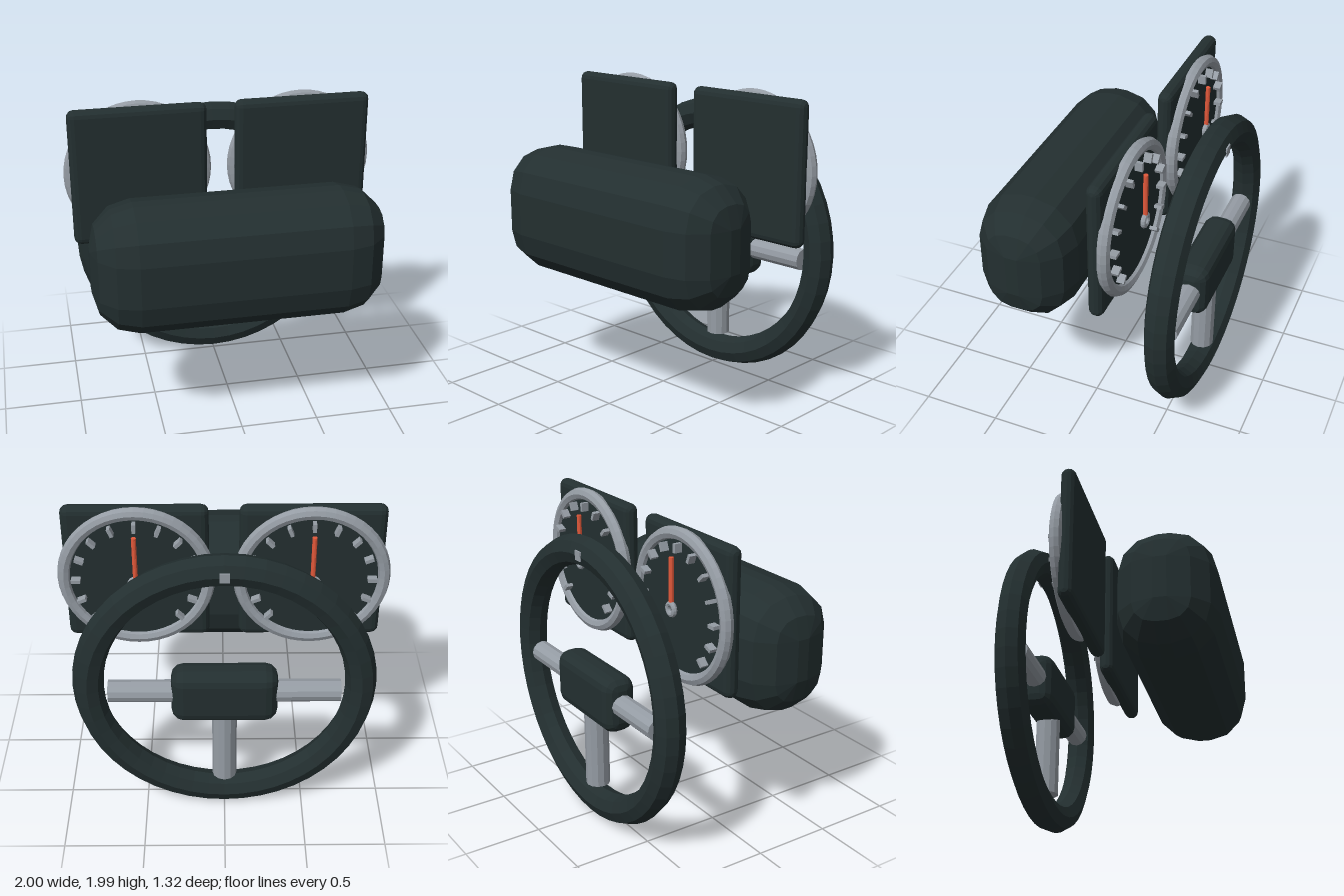
import * as THREE from 'three';
import { ConvexGeometry } from 'three/addons/geometries/ConvexGeometry.js';

const material = (name, color, flat = true) => {
  const m = new THREE.MeshStandardMaterial({ color, flatShading: flat });
  m.name = name;
  return m;
};

// Box with edges rounded in 30 degree facets
function bevelledBox(w, h, d, r) {
  const points = [];
  for (const sx of [-1, 1]) for (const sy of [-1, 1]) for (const sz of [-1, 1]) {
    for (let i = 0; i <= 3; i++) {
      for (let j = 0; j <= (i === 3 ? 0 : 3); j++) {
        const lat = i * Math.PI / 6, lon = j * Math.PI / 6;
        points.push(new THREE.Vector3(
          sx * (w / 2 - r + r * Math.sin(lat)),
          sy * (h / 2 - r + r * Math.cos(lat) * Math.sin(lon)),
          sz * (d / 2 - r + r * Math.cos(lat) * Math.cos(lon))
        ));
      }
    }
  }
  return new ConvexGeometry(points);
}

export function createModel() {
  const dark = material('dark plastic', 0x232f30);
  const metal = material('brushed metal', 0x959ca4);
  const orange = material('needle orange', 0xe2583a);
  const model = new THREE.Group();
  model.name = 'dashboard';

  const add = (parent, name, geometry, mat, x, y, z) => {
    const mesh = new THREE.Mesh(geometry, mat);
    mesh.name = name;
    mesh.position.set(x, y, z);
    parent.add(mesh);
    return mesh;
  };

  // Rounded dashboard body
  add(model, 'dashBody', bevelledBox(1.81, 0.81, 0.62, 0.27), dark, 0, 1.175, 0.35);

  // Two round gauges, facing the back
  for (const side of [-1, 1]) {
    const gauge = new THREE.Group();
    gauge.name = side > 0 ? 'leftGauge' : 'rightGauge';
    gauge.position.set(side * 0.525, 1.53, 0);
    model.add(gauge);

    add(gauge, 'backPlate', bevelledBox(0.87, 0.9, 0.095, 0.045), dark, 0, 0.005, -0.203);
    add(gauge, 'dialFace', new THREE.CylinderGeometry(0.43, 0.43, 0.04, 48), dark, 0, 0, -0.255)
      .rotation.x = Math.PI / 2;
    add(gauge, 'bezel', new THREE.TorusGeometry(0.433, 0.04, 8, 48), metal, 0, 0, -0.265);

    // Thirteen marks over three quarters of a turn
    for (let i = 0; i < 13; i++) {
      const a = -Math.PI / 4 + i * Math.PI / 8;
      add(gauge, 'tick', new THREE.BoxGeometry(0.055, 0.022, 0.05), metal,
        0.36 * Math.cos(a), 0.36 * Math.sin(a), -0.298).rotation.z = a;
    }

    add(gauge, 'needle', new THREE.CylinderGeometry(0.015, 0.015, 0.27, 10), orange, 0, 0.178, -0.34);
    add(gauge, 'needleHub', new THREE.TorusGeometry(0.033, 0.017, 8, 16), metal, 0, 0, -0.34);
  }

  // Steering wheel
  const wheel = new THREE.Group();
  wheel.name = 'steeringWheel';
  wheel.position.set(0, 0.935, -0.555);
  model.add(wheel);
  add(wheel, 'rim', new THREE.TorusGeometry(0.83, 0.095, 8, 48), dark, 0, 0, 0);
  add(wheel, 'centrePad', bevelledBox(0.65, 0.36, 0.21, 0.075), dark, 0, -0.055, 0);
  add(wheel, 'lowerSpoke', new THREE.CylinderGeometry(0.077, 0.077, 0.6, 12), metal, 0, -0.415, 0);
  for (const side of [-1, 1]) {
    add(wheel, 'sideSpoke', new THREE.CylinderGeometry(0.07, 0.07, 0.5, 12), metal, side * 0.46, -0.045, 0)
      .rotation.z = Math.PI / 2;
  }
  // Small marker at the top of the rim
  add(wheel, 'rimMarker', new THREE.BoxGeometry(0.06, 0.06, 0.009), metal, 0, 0.83, -0.094);

  return model;
}
